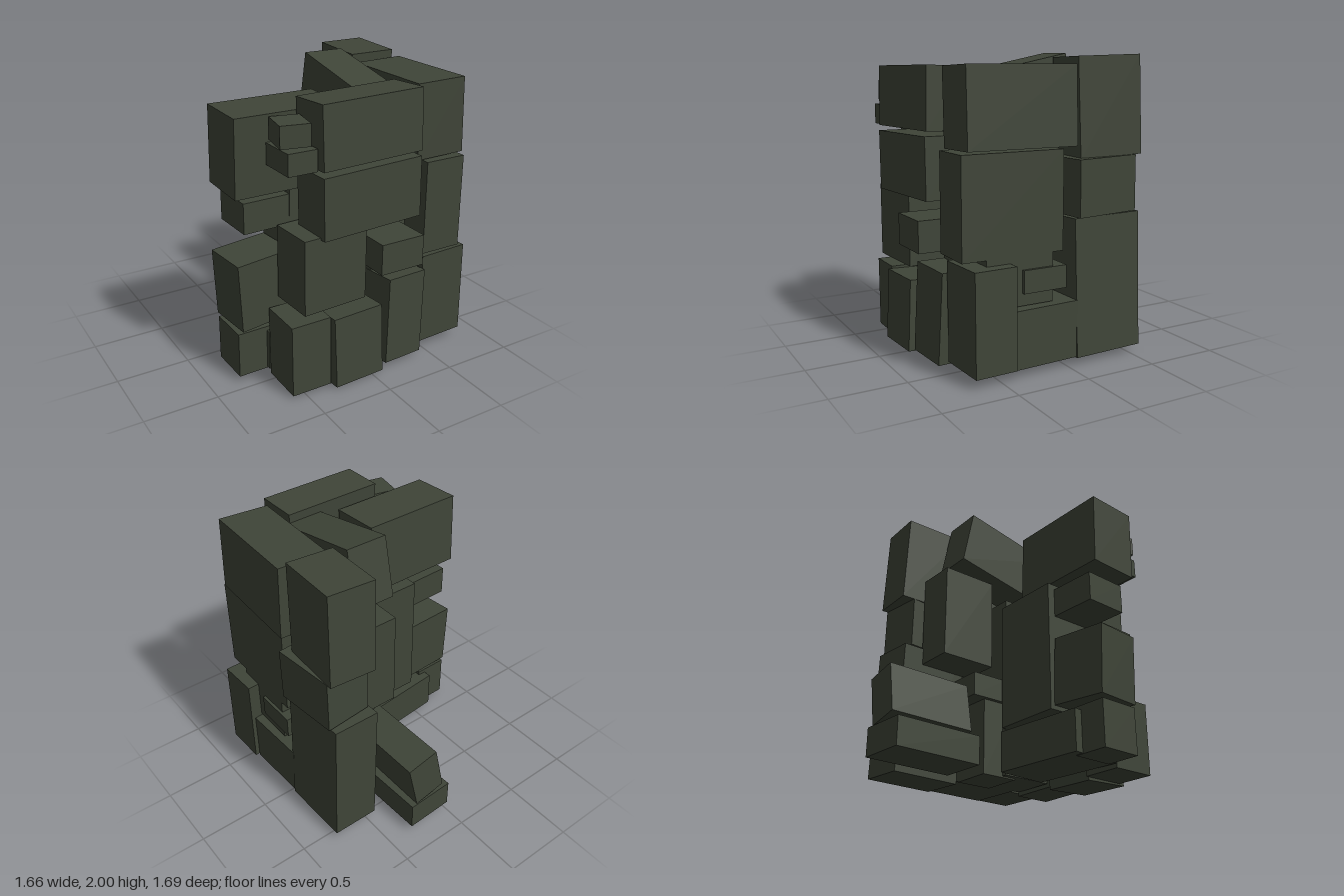
import * as THREE from 'three';

const stone = new THREE.MeshStandardMaterial({ color: 0x3f4538 });
stone.name = 'dark olive stone';

// A stone given by its extents before it is tilted about its own centre
function block(group, name, [x0, x1], [y0, y1], [z0, z1], [rx, ry, rz] = [0, 0, 0]) {
  const mesh = new THREE.Mesh(new THREE.BoxGeometry(x1 - x0, y1 - y0, z1 - z0), stone);
  mesh.name = name;
  mesh.position.set((x0 + x1) / 2, (y0 + y1) / 2, (z0 + z1) / 2);
  mesh.rotation.set(rx, ry, rz);
  group.add(mesh);
}

// Front face of the wall
const front = [
  ['frontTopStone', [-0.405, 0.335], [1.515, 1.92], [0.5, 0.79], [-0.03, 0.035, 0.015]],
  ['frontUpperStone', [-0.4, 0.335], [1.08, 1.485], [0.5, 0.8], [0, 0.03, 0.02]],
  ['frontMiddleStone', [-0.515, -0.05], [0.58, 1.085], [0.44, 0.76], [0, 0.05, 0]],
  ['frontSmallStone', [0.015, 0.34], [0.76, 0.97], [0.5, 0.845]],
  ['frontBaseLeftStone', [-0.595, -0.315], [0.025, 0.52], [0.46, 0.77], [0, -0.01, 0.01]],
  ['frontBaseMiddleStone', [-0.31, 0.06], [0.015, 0.505], [0.46, 0.81], [-0.05, 0.035, 0.015]],
  ['frontBaseRightStone', [0.11, 0.425], [0.04, 0.65], [0.47, 0.765], [-0.03, 0.11, -0.045]],
  ['frontChipUpper', [-0.62, -0.43], [1.67, 1.81], [0.52, 0.74], [0, -0.2, 0]],
  ['frontChipLower', [-0.61, -0.41], [1.51, 1.65], [0.49, 0.76]],
];

// Side facing +x
const side = [
  ['cornerTopStone', [0.395, 0.75], [1.425, 1.93], [-0.055, 0.69], [0, -0.04, 0.035]],
  ['sideTopBackStone', [0.415, 0.74], [1.345, 1.985], [-0.555, -0.1], [0.03, -0.06, 0.025]],
  ['cornerMiddleStone', [0.43, 0.73], [0.77, 1.415], [0.025, 0.735]],
  ['sideMiddleBackStone', [0.45, 0.78], [0.98, 1.35], [-0.5, -0.04], [0.01, 0.09, 0]],
  ['sideBaseBackStone', [0.425, 0.76], [0.05, 0.965], [-0.56, -0.055], [0.01, 0.02, 0.035]],
  ['cornerBaseStone', [0.455, 0.82], [0.07, 0.73], [0.41, 0.7], [0, 0.03, 0.01]],
  ['sideBaseStone', [0.3, 0.78], [0.06, 0.44], [-0.06, 0.41], [0, 0.04, 0]],
  ['sideLowStone', [0.12, 0.73], [0.45, 0.77], [0.1, 0.57]],
  ['sideSmallStone', [0.45, 0.75], [0.53, 0.68], [0.01, 0.32]],
];

// Wing reaching towards -x
const wing = [
  ['wingTopStone', [-0.82, -0.08], [1.32, 1.83], [0.125, 0.485], [0.035, 0.01, 0]],
  ['wingUpperStone', [-0.75, -0.35], [1.06, 1.265], [0.12, 0.43], [0, 0.03, 0]],
  ['wingMiddleStone', [-0.81, -0.41], [0.4, 0.87], [0.11, 0.44], [0, 0.09, 0.05]],
  ['wingBaseStone', [-0.805, -0.56], [0.045, 0.36], [0.13, 0.42], [0, 0.02, 0]],
  ['wingTallStone', [-0.42, 0.085], [0.38, 1.3], [0.06, 0.43]],
  ['wingLongBaseStone', [-0.61, 0.05], [0.05, 0.33], [0.04, 0.42], [0, 0.09, 0]],
];

// Spur reaching towards -z, with fallen stones, and the core
const spur = [
  ['tiltedCapStone', [0.075, 0.365], [1.515, 1.93], [-0.265, 0.49], [0.2, -0.015, 0]],
  ['spurUpperStone', [0.14, 0.42], [0.84, 1.51], [-0.4, 0.01]],
  ['spurSmallStone', [0.1, 0.4], [0.58, 0.745], [-0.17, 0.1]],
  ['spurBaseStone', [0.13, 0.42], [0.05, 0.58], [-0.06, 0.21]],
  ['fallenStone', [0.085, 0.32], [0.27, 0.62], [-0.83, -0.22], [0.02, 0, -0.2]],
  ['fallenBaseStone', [0, 0.34], [0.06, 0.255], [-0.835, -0.19], [0, 0.04, 0]],
  ['coreStone', [0.11, 0.43], [0.66, 1.4], [0.12, 0.52]],
  ['coreBaseStone', [0.09, 0.4], [0.06, 0.5], [0.1, 0.47]],
];

export function createModel() {
  const model = new THREE.Group();
  model.name = 'stoneRuin';
  for (const [name, list] of Object.entries({ front, side, wing, spur })) {
    const part = new THREE.Group();
    part.name = name + 'Stones';
    for (const args of list) block(part, ...args);
    model.add(part);
  }
  return model;
}
